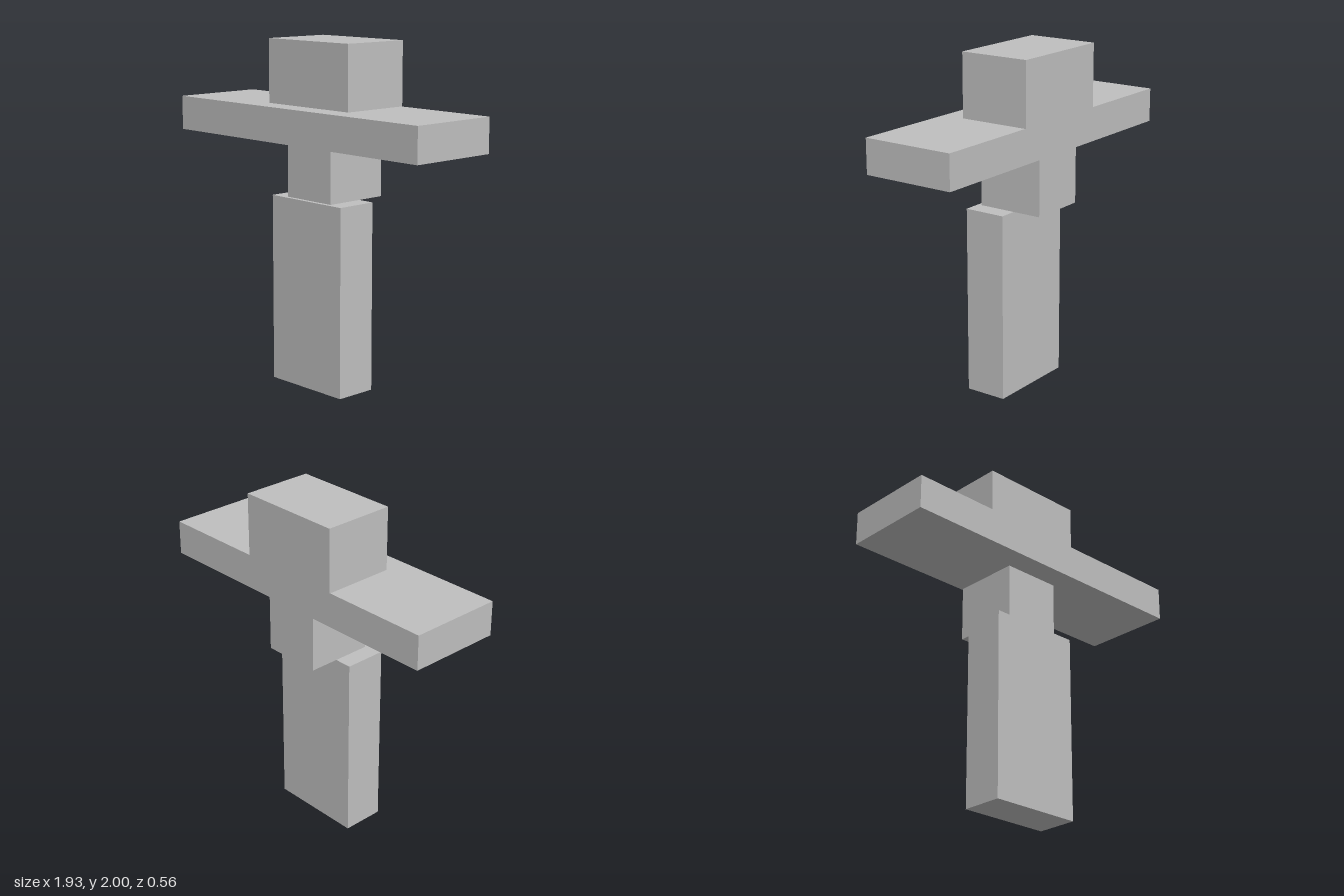
import * as THREE from 'three';

export function createModel() {
  const group = new THREE.Group();
  const grey = new THREE.MeshStandardMaterial({ color: 0xbfbfbf });
  grey.name = 'plain grey';

  // Box spanning given x, y and z ranges
  function block(name, [x0, x1], [y0, y1], [z0, z1]) {
    const mesh = new THREE.Mesh(new THREE.BoxGeometry(x1 - x0, y1 - y0, z1 - z0), grey);
    mesh.position.set((x0 + x1) / 2, (y0 + y1) / 2, (z0 + z1) / 2);
    mesh.name = name;
    group.add(mesh);
  }

  // Tall lower block
  block('lowerBody', [-0.285, 0.28], [0, 1.1], [-0.09, 0.16]);
  // Narrow block set back on top of it
  block('neck', [-0.18, 0.175], [1.1, 1.43], [-0.265, 0.135]);
  // Wide horizontal slab
  block('crossSlab', [-0.967, 0.963], [1.43, 1.63], [-0.275, 0.28]);
  // Upper block, overhanging the back very slightly
  block('head', [-0.326, 0.322], [1.63, 2], [-0.28, 0.145]);

  return group;
}
